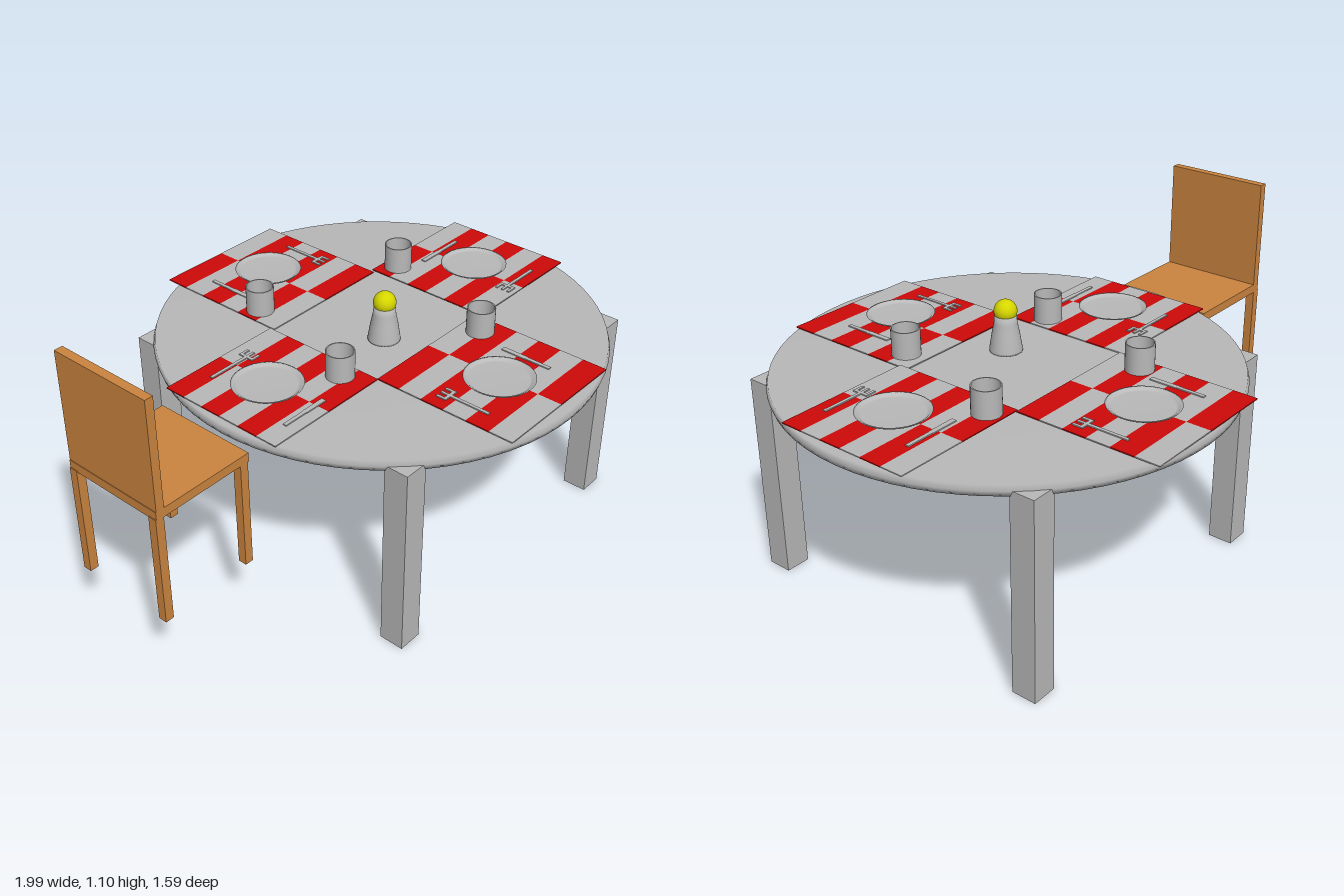
import * as THREE from 'three';

const mat = (name, color) => {
  const m = new THREE.MeshStandardMaterial({ color });
  m.name = name;
  return m;
};

export function createModel() {
  const grey = mat('grey', 0xb9b9b9);
  const wood = mat('wood', 0xcc8540);
  const red = mat('red', 0xcf0a0a);
  const yellow = mat('yellow', 0xd6d600);
  const model = new THREE.Group();

  const group = (name, parent = model) => {
    const g = new THREE.Group();
    g.name = name;
    parent.add(g);
    return g;
  };
  const add = (parent, name, geometry, material, x = 0, y = 0, z = 0) => {
    const m = new THREE.Mesh(geometry, material);
    m.name = name;
    m.position.set(x, y, z);
    parent.add(m);
    return m;
  };
  // Box given by its minimum and maximum corners
  const box = (parent, name, material, x0, x1, y0, y1, z0, z1) =>
    add(parent, name, new THREE.BoxGeometry(x1 - x0, y1 - y0, z1 - z0), material,
      (x0 + x1) / 2, (y0 + y1) / 2, (z0 + z1) / 2);
  const lathe = (points, segments = 48) =>
    new THREE.LatheGeometry(points.map(([r, y]) => new THREE.Vector2(r, y)), segments);

  // Round table, its top softly shaded right across to the rim
  const table = group('table');
  add(table, 'tableTop', lathe([[0, 0.7], [0.79, 0.7], [0.796, 0.719], [0.79, 0.737], [0, 0.737]], 72),
    grey, 0.2, 0, 0);
  for (const x of [-0.4, 0.71])
    for (const z of [-0.6, 0.51])
      box(table, 'tableLeg', grey, x, x + 0.09, 0, 0.719, z, z + 0.09);

  // Chair, facing the table
  const chair = group('chair');
  box(chair, 'seat', wood, -0.995, -0.61, 0.67, 0.703, -0.25, 0.14);
  box(chair, 'backrest', wood, -0.993, -0.962, 0.7, 1.1, -0.25, 0.14);
  for (const x of [-0.998, -0.647])
    for (const z of [-0.25, 0.108])
      box(chair, 'chairLeg', wood, x, x + 0.032, 0.267, 0.675, z, z + 0.032);

  // Shared tableware shapes
  const plateShape = lathe([[0, 0], [0.08, 0], [0.118, 0.014], [0.122, 0.018], [0.116, 0.018],
    [0.108, 0.011], [0.1, 0.008], [0, 0.008]]);
  const cupShape = lathe([[0, 0], [0.05, 0], [0.05, 0], [0.05, 0.098], [0.05, 0.098], [0.046, 0.098],
    [0.046, 0.098], [0.046, 0.006], [0.046, 0.006], [0, 0.006]], 32);

  // Cutlery lies along local z, with the tip at -z
  const knife = (parent, x, y, z, length, turn) => {
    const g = group('knife', parent);
    box(g, 'knifeBlade', grey, -0.009, 0.009, 0, 0.004, -length / 2, 0);
    box(g, 'knifeHandle', grey, -0.007, 0.007, 0, 0.004, 0, length / 2);
    g.position.set(x, y, z);
    g.rotation.y = turn;
  };
  const fork = (parent, x, y, z, length, turn) => {
    const g = group('fork', parent);
    const tip = -length / 2;
    box(g, 'forkHandle', grey, -0.006, 0.006, 0, 0.004, tip + 0.038, length / 2);
    box(g, 'forkBridge', grey, -0.03, 0.03, 0, 0.004, tip + 0.028, tip + 0.04);
    for (const px of [-0.025, 0, 0.025])
      box(g, 'forkProng', grey, px - 0.005, px + 0.005, 0, 0.004, tip, tip + 0.03);
    g.position.set(x, y, z);
    g.rotation.y = turn;
  };

  // Four place settings: chequered mat, plate, cup and cutlery
  const settings = [
    { name: 'backSetting', area: [-0.078, 0.462, -0.788, -0.254], y: 0.74, turn: Math.PI,
      plate: [0.203, -0.55], cup: [-0.015, -0.38], knife: [0.02, -0.552, 0.205], fork: [0.395, -0.535, 0.19] },
    { name: 'frontSetting', area: [-0.08, 0.462, 0.217, 0.755], y: 0.74, turn: 0,
      plate: [0.172, 0.527], cup: [0.38, 0.297], knife: [0.34, 0.517, 0.19], fork: [-0.005, 0.518, 0.19] },
    { name: 'rightSetting', area: [-0.57, -0.08, -0.27, 0.217], y: 0.739, turn: -Math.PI / 2,
      plate: [-0.35, -0.025], cup: [-0.145, 0.11], knife: [-0.38, 0.165, 0.185], fork: [-0.335, -0.2, 0.2] },
    { name: 'leftSetting', area: [0.464, 0.973, -0.26, 0.243], y: 0.748, turn: Math.PI / 2,
      plate: [0.727, 0.013], cup: [0.54, -0.2], knife: [0.74, -0.155, 0.205], fork: [0.75, 0.195, 0.19] },
  ];
  for (const s of settings) {
    const g = group(s.name);
    const [x0, x1, z0, z1] = s.area;
    const w = (x1 - x0) / 2, d = (z1 - z0) / 6;
    for (let i = 0; i < 2; i++)
      for (let j = 0; j < 6; j++)
        box(g, 'matSquare', (i + j) % 2 ? grey : red,
          x0 + i * w, x0 + (i + 1) * w, s.y, s.y + 0.004, z0 + j * d, z0 + (j + 1) * d);
    const top = s.y + 0.004;
    add(g, 'plate', plateShape, grey, s.plate[0], top, s.plate[1]);
    add(g, 'cup', cupShape, grey, s.cup[0], top, s.cup[1]);
    knife(g, s.knife[0], top, s.knife[1], s.knife[2], s.turn);
    fork(g, s.fork[0], top, s.fork[1], s.fork[2], s.turn);
  }

  // Bell-shaped stand with a yellow ball on top
  const lamp = group('centrepiece');
  add(lamp, 'lampBase', lathe([[0, 0.737], [0.057, 0.737], [0.057, 0.745], [0.048, 0.8], [0.04, 0.84],
    [0.037, 0.872], [0, 0.875]], 32), grey, 0.135, 0, 0.067);
  add(lamp, 'lampBall', new THREE.SphereGeometry(0.04, 32, 20), yellow, 0.135, 0.882, 0.067);

  return model;
}
